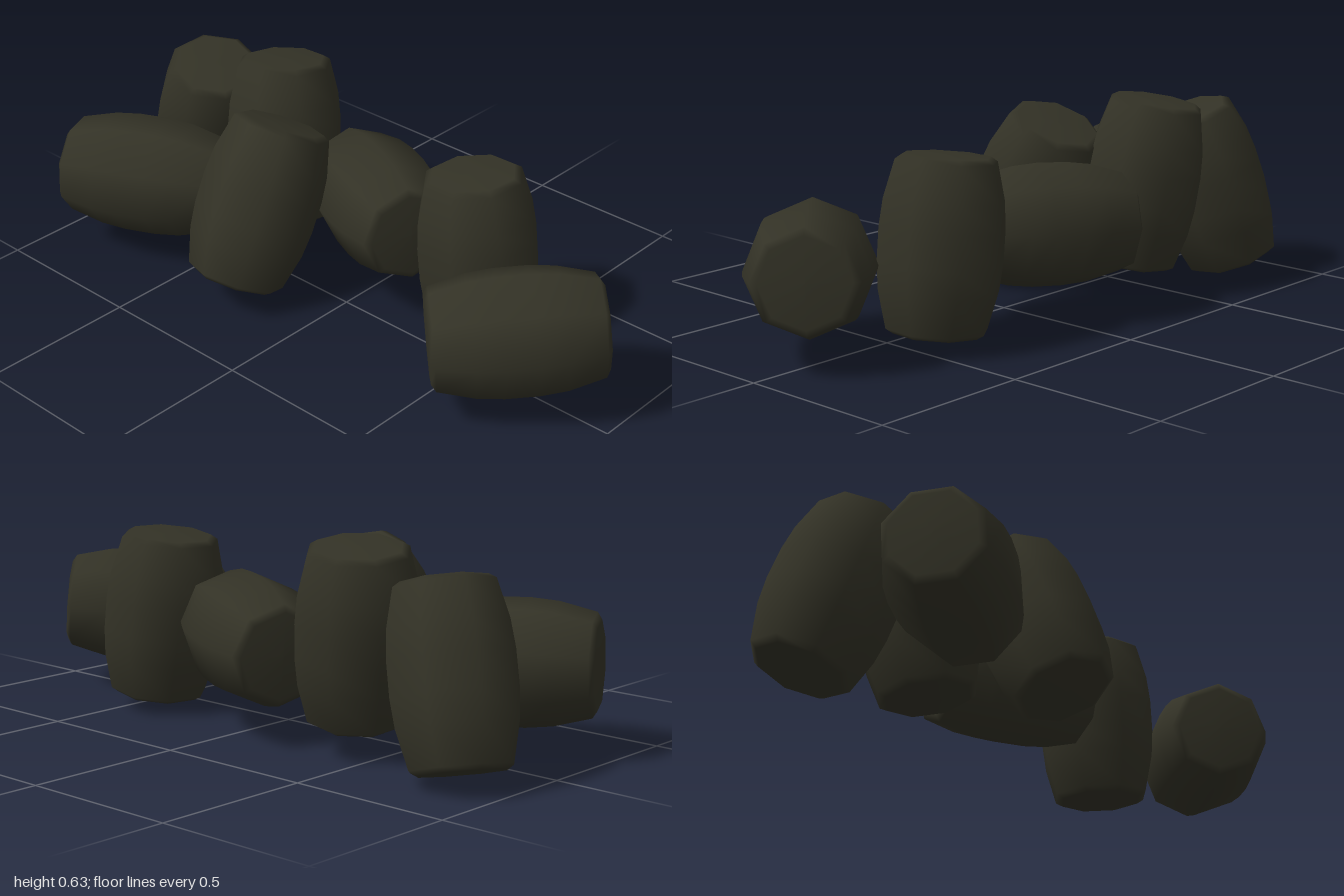
import * as THREE from 'three';

// Each barrel: name, centre of one end, centre of the other end, spin about its axis in degrees
const BARRELS = [
  ['backRightNugget', [-0.86, 0.045, -0.24], [-0.715, 0.535, -0.145], 15],
  ['backInnerNugget', [-0.415, 0.1, -0.155], [-0.467, 0.61, -0.215], 15],
  ['middleNugget', [-0.235, 0.275, -0.275], [0.205, 0.3, -0.065], 22],
  ['innerLeftNugget', [0.435, 0.045, -0.138], [0.38, 0.55, -0.13], 15],
  ['outerLeftNugget', [0.54, 0.235, 0.25], [0.895, 0.275, -0.1], 0],
  ['frontRightNugget', [-0.935, 0.265, 0.285], [-0.485, 0.255, 0.06], 0],
  ['frontInnerNugget', [-0.265, 0.08, 0.225], [-0.255, 0.54, 0.01], 0],
];

// Bulging eight-sided barrel with nearly flat, softly rimmed ends, of unit length
function barrelGeometry() {
  const half = [[0.188, 0.1], [0.18, 0.26], [0.152, 0.478], [0.13, 0.505], [0, 0.51]];
  const points = [
    ...half.slice().reverse().map(([r, y]) => new THREE.Vector2(r, -y)),
    ...half.map(([r, y]) => new THREE.Vector2(r, y)),
  ];
  return new THREE.LatheGeometry(points, 8);
}

export function createModel() {
  const group = new THREE.Group();
  group.name = 'nuggetPile';
  const darkOlive = new THREE.MeshStandardMaterial({ color: 0x333226 });
  darkOlive.name = 'darkOlive';
  const geometry = barrelGeometry();
  const up = new THREE.Vector3(0, 1, 0);

  for (const [name, from, to, spin] of BARRELS) {
    const a = new THREE.Vector3(...from);
    const b = new THREE.Vector3(...to);
    const axis = b.clone().sub(a);
    const mesh = new THREE.Mesh(geometry, darkOlive);
    mesh.name = name;
    mesh.position.copy(a).add(b).multiplyScalar(0.5);
    mesh.scale.y = axis.length();
    mesh.quaternion.setFromUnitVectors(up, axis.normalize());
    mesh.rotateY(THREE.MathUtils.degToRad(spin));
    group.add(mesh);
  }
  return group;
}
